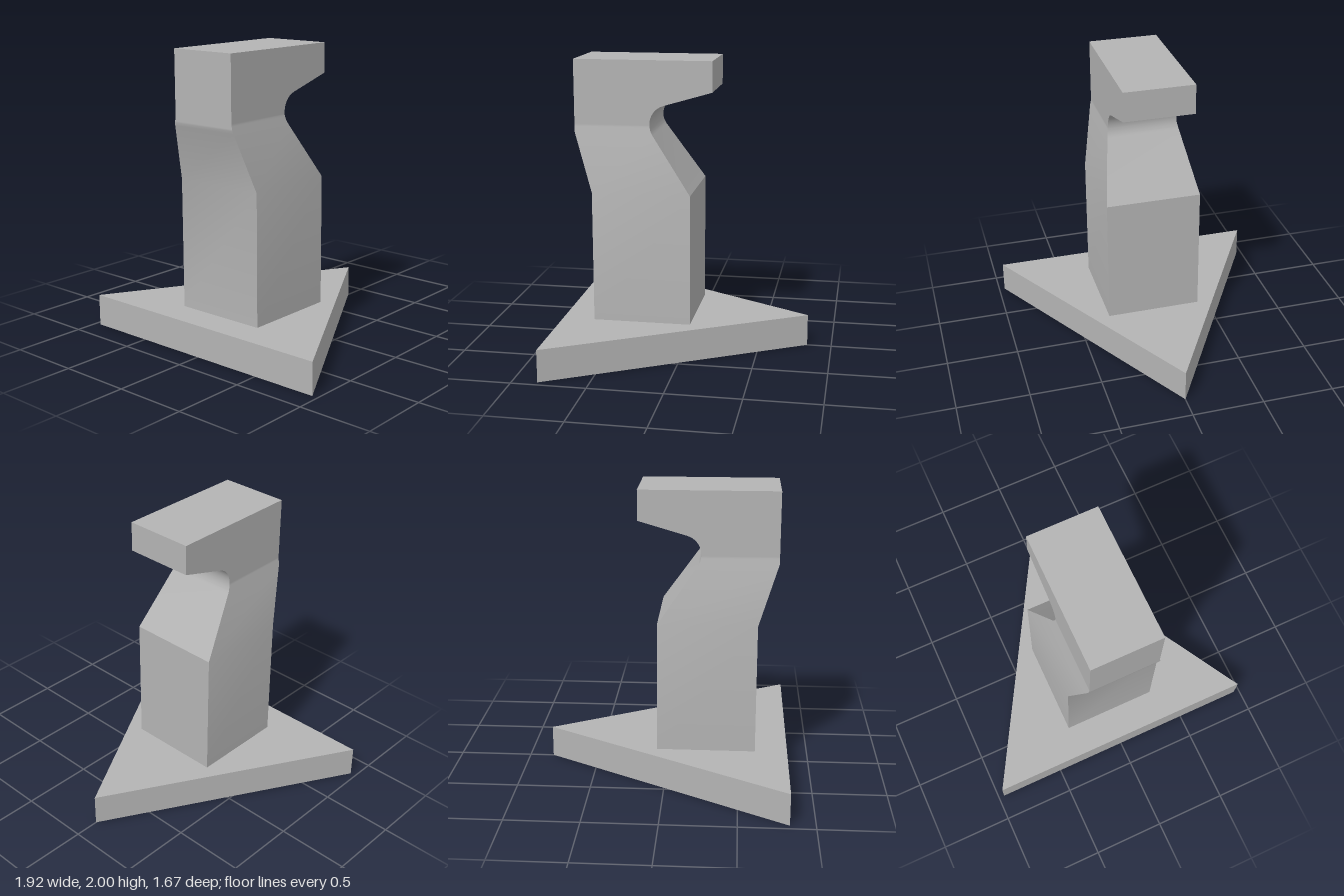
import * as THREE from 'three';
import { toCreasedNormals } from 'three/addons/utils/BufferGeometryUtils.js';

const BASE_TOP = 0.22, TAPER_LOW = 1.115, TAPER_HIGH = 1.56;

// Flat triangular slab with optional round holes, its top at height `top`
function slab(top, thickness, holes = []) {
  const shape = new THREE.Shape();
  shape.moveTo(-0.96, 0.833);
  shape.lineTo(0, -0.833);
  shape.lineTo(0.96, 0.833);
  shape.closePath();
  for (const [x, z] of holes) {
    const hole = new THREE.Path();
    hole.absarc(x, z, 0.225, 0, Math.PI * 2, true);
    shape.holes.push(hole);
  }
  const geo = new THREE.ExtrudeGeometry(shape, { depth: thickness, bevelEnabled: false, curveSegments: 24 });
  geo.rotateX(Math.PI / 2);
  geo.translate(0, top, 0);
  return toCreasedNormals(geo, Math.PI / 6);
}

// Piecewise linear lookup through [y, value] points
function lookup(points, y) {
  for (let i = 1; i < points.length; i++) {
    const [y0, v0] = points[i - 1], [y1, v1] = points[i];
    if (y <= y1) return v0 + (v1 - v0) * (y - y0) / (y1 - y0);
  }
  return points[points.length - 1][1];
}

// Rectangular sections stacked upward: tapering body, rounded throat and overhanging head
function columnGeometry() {
  const width = [[BASE_TOP, 0.331], [TAPER_LOW, 0.331], [TAPER_HIGH, 0.243], [2, 0.243]];
  const front = [[BASE_TOP, 0.613], [TAPER_LOW, 0.613], [1.52, 0.746], [2, 0.746]];
  const back = [[BASE_TOP, -0.055], [TAPER_LOW, -0.055]];
  const steps = 14;
  for (let i = 0; i <= steps; i++) {
    const a = THREE.MathUtils.degToRad(-33.9 + (74 + 33.9) * i / steps);
    back.push([1.574 + 0.131 * Math.sin(a), 0.102 + 0.131 * Math.cos(a)]);
  }
  back.push([1.795, -0.188], [2, -0.188]);

  const levels = [...back.map(p => p[0]), 1.52, TAPER_HIGH].sort((a, b) => a - b);
  const positions = [], index = [];
  levels.forEach((y, i) => {
    const w = lookup(width, y), f = lookup(front, y), b = lookup(back, y);
    positions.push(-w, y, f, w, y, f, w, y, b, -w, y, b);
    if (i === 0) return;
    const lo = (i - 1) * 4, hi = i * 4;
    for (let k = 0; k < 4; k++) {
      const n = (k + 1) % 4;
      index.push(lo + k, lo + n, hi + n, lo + k, hi + n, hi + k);
    }
  });
  const t = (levels.length - 1) * 4;
  index.push(t, t + 1, t + 2, t, t + 2, t + 3, 0, 2, 1, 0, 3, 2);
  const geo = new THREE.BufferGeometry();
  geo.setAttribute('position', new THREE.Float32BufferAttribute(positions, 3));
  geo.setIndex(index);
  return toCreasedNormals(geo, Math.PI / 6);
}

export function createModel() {
  const grey = new THREE.MeshStandardMaterial({ color: 0xb4b4b4 });
  grey.name = 'grey';
  const model = new THREE.Group();
  model.name = 'hookedStand';
  const add = (name, geo) => {
    const mesh = new THREE.Mesh(geo, grey);
    mesh.name = name;
    model.add(mesh);
  };

  // Triangular base: solid upper half over a lower half with two blind holes
  add('baseTop', slab(BASE_TOP, 0.11));
  add('baseBottom', slab(0.11, 0.11, [[0.22, 0.055], [-0.22, 0.5]]));

  // Upright column with overhanging head
  add('column', columnGeometry());
  return model;
}
